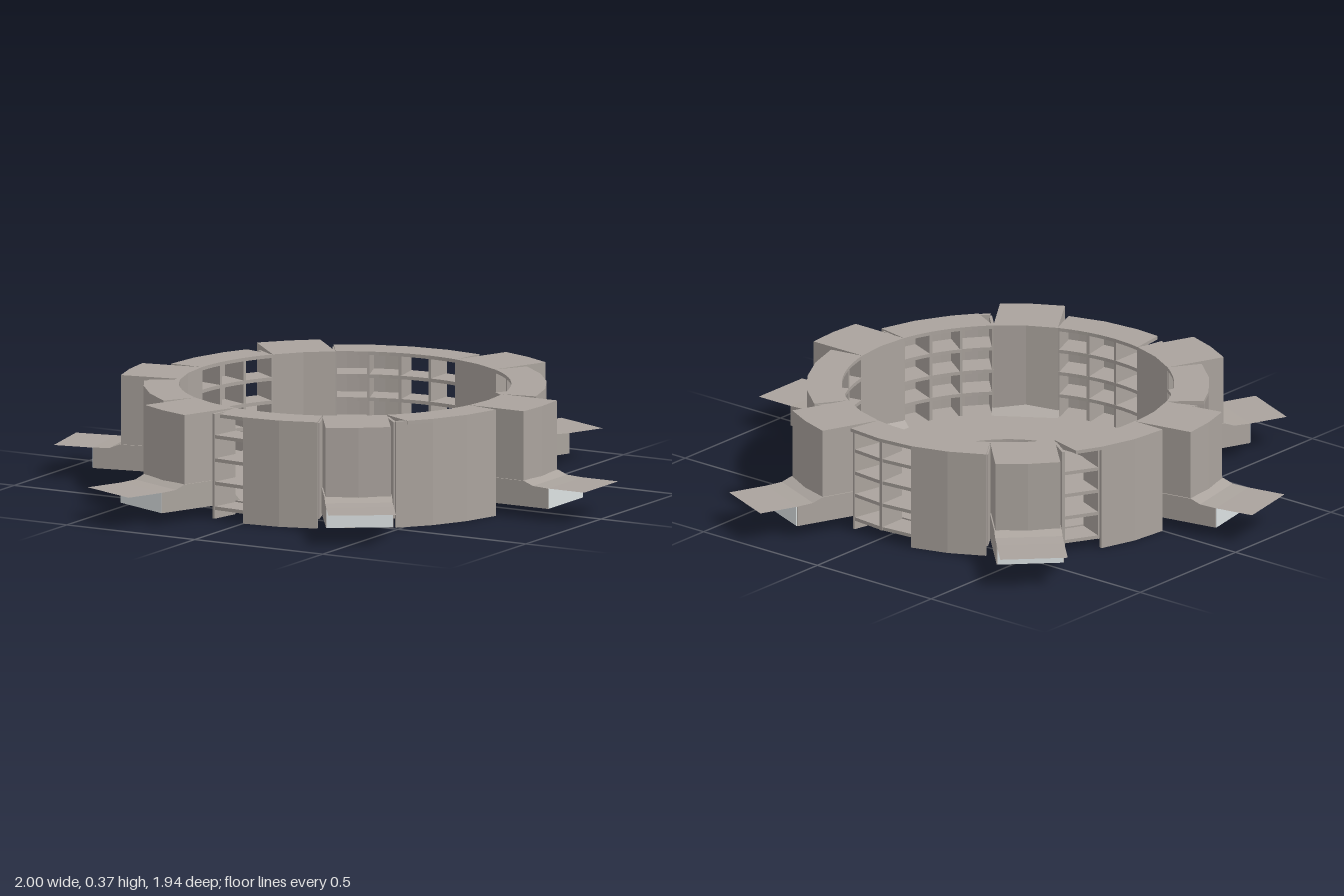
import * as THREE from 'three';

const SEG = Math.PI / 16; // the ring has 32 sides
const R_IN = 0.56, R_OUT = 0.68, TOP = 0.365, FLOOR = 0.04;

const hull = new THREE.MeshStandardMaterial({ color: 0xaaa39d, flatShading: true });
hull.name = 'warm grey hull';
const hullSheet = new THREE.MeshStandardMaterial({ color: 0xaaa39d, flatShading: true, side: THREE.DoubleSide });
hullSheet.name = 'warm grey sheet';
const light = new THREE.MeshStandardMaterial({ color: 0xdbe1e2 });
light.name = 'pale light';

function add(parent, name, geometry, material = hull) {
  const mesh = new THREE.Mesh(geometry, material);
  mesh.name = name;
  parent.add(mesh);
  return mesh;
}

// Upright prism from a plan outline, between heights y0 and y1
function prism(points, y0, y1) {
  const g = new THREE.ExtrudeGeometry(new THREE.Shape(points), { depth: y1 - y0, bevelEnabled: false });
  return g.rotateX(-Math.PI / 2).translate(0, y0, 0);
}

const polar = (r, a) => new THREE.Vector2(r * Math.cos(a), r * Math.sin(a));

// Part of a ring from side a to side b; cut slants the outer start corner
function sector(r0, r1, a, b, y0, y1, cut = 0) {
  const points = [];
  const n = b - a;
  for (let i = 0; i <= n; i++) points.push(polar(r1, (a + i + (i === 0 ? cut : 0)) * SEG));
  for (let i = n * 3; i >= 0; i--) points.push(polar(r0, (a + i / 3) * SEG));
  return prism(points, y0, y1);
}

// Docking arm: tower, foot, lit end and landing plate, built along +x
function dockingArm() {
  const arm = new THREE.Group();
  arm.name = 'dockingArm';

  const w = 0.11, r = 0.77;
  const plan = [polar(R_IN, -SEG)];
  for (const z of [-w, 0, w]) plan.push(new THREE.Vector2(Math.sqrt(r * r - z * z), z));
  plan.push(polar(R_IN, SEG), new THREE.Vector2(R_IN, 0));
  add(arm, 'tower', prism(plan, FLOOR, TOP));

  const side = [[0.53, 0.04], [0.86, 0.04], [0.86, 0.11], [0.8, 0.113], [0.765, 0.127], [0.6, 0.127], [0.53, 0.046]];
  const foot = new THREE.ExtrudeGeometry(
    new THREE.Shape(side.map(([x, y]) => new THREE.Vector2(x, y))),
    { depth: 0.228, bevelEnabled: false });
  add(arm, 'foot', foot.translate(0, 0, -0.114));

  add(arm, 'endLight', new THREE.BoxGeometry(0.004, 0.068, 0.224).translate(0.861, 0.075, 0), light);
  add(arm, 'landingPlate',
    new THREE.PlaneGeometry(0.14, 0.228).rotateX(-Math.PI / 2).translate(0.93, 0.11, 0), hullSheet);
  return arm;
}

// Bay of open cells between two arms, spanning sides a to b
function bay(a, b, gap, notched) {
  const group = new THREE.Group();
  group.name = 'ringBay';
  add(group, 'topRim', sector(R_IN, R_OUT, a, b, TOP - 0.012, TOP, notched ? 0.3 : 0));
  add(group, 'outerWall', sector(R_OUT - 0.015, R_OUT, a + gap, b, 0, TOP - 0.001));
  for (const y of [0.03, 0.115, 0.195, 0.275])
    add(group, 'shelf', sector(R_IN, R_OUT - 0.015, a, b, y, y + 0.012));
  for (let i = a; i <= b; i++) {
    const low = gap > 0 && i === a ? 0 : 0.03;
    const h = TOP - 0.005 - low;
    const divider = add(group, 'divider',
      new THREE.BoxGeometry(0.106, h, 0.01).translate(0.614, low + h / 2, 0));
    divider.rotation.y = i * SEG;
  }
  return group;
}

export function createModel() {
  const model = new THREE.Group();
  model.name = 'ringStation';

  // Thin floor with a shallow round dish in the middle
  const profile = [[0, 0.025], [0.32, 0.025], [0.32, 0.04], [R_IN, 0.04], [R_IN, 0.047],
    [0.315, 0.047], [0.315, 0.032], [0, 0.032]];
  add(model, 'floor', new THREE.LatheGeometry(profile.map(([x, y]) => new THREE.Vector2(x, y)), 96));

  // Arm positions in ring sides, and the open gap that follows each arm
  const sides = [0, 6, 12, 17, 22, 27, 32];
  const gaps = [0, 2, 1, 1, 1, 0];
  gaps.forEach((gap, i) => {
    const arm = dockingArm();
    arm.rotation.y = sides[i] * SEG;
    model.add(arm);
    model.add(bay(sides[i] + 1, sides[i + 1] - 1, gap, i > 1));
  });
  return model;
}
